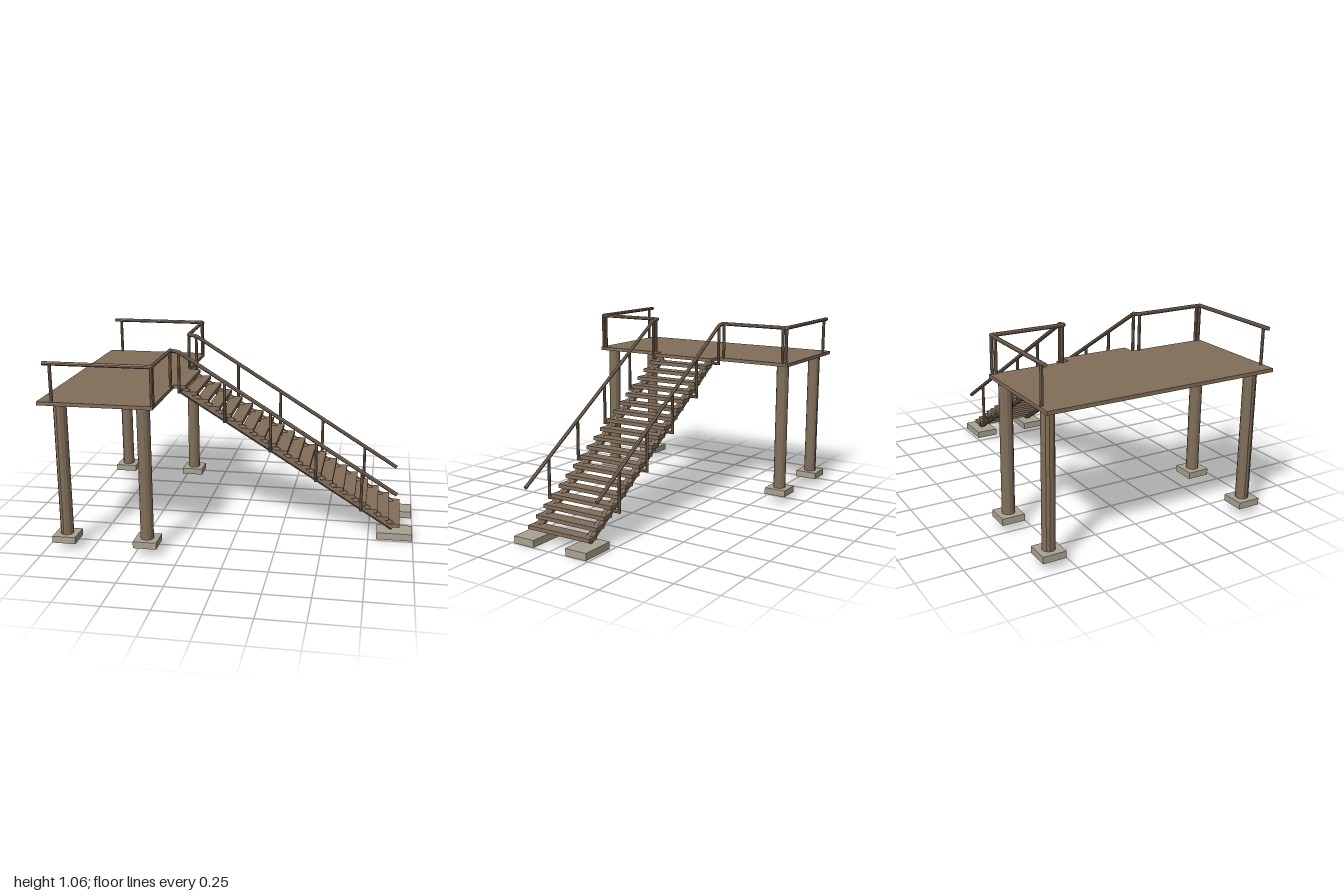
import * as THREE from 'three';

const wood = new THREE.MeshStandardMaterial({ color: 0x826f5a });
wood.name = 'weathered wood';
wood.flatShading = true;
const concrete = new THREE.MeshStandardMaterial({ color: 0xaaa493 });
concrete.name = 'concrete';

export function createModel() {
  const model = new THREE.Group();
  model.name = 'stairPlatform';

  const add = (name, geometry, material, x, y, z) => {
    const mesh = new THREE.Mesh(geometry, material);
    mesh.name = name;
    mesh.position.set(x, y, z);
    model.add(mesh);
    return mesh;
  };

  // Box given by its lowest and highest corners
  const box = (name, material, [x0, y0, z0], [x1, y1, z1]) =>
    add(name, new THREE.BoxGeometry(x1 - x0, y1 - y0, z1 - z0), material,
      (x0 + x1) / 2, (y0 + y1) / 2, (z0 + z1) / 2);

  // Round pole between two points
  const up = new THREE.Vector3(0, 1, 0);
  const pole = (name, from, to, radius, sides = 8) => {
    const a = new THREE.Vector3(...from);
    const dir = new THREE.Vector3(...to).sub(a);
    const mid = a.clone().addScaledVector(dir, 0.5);
    const geometry = new THREE.CylinderGeometry(radius, radius, dir.length(), sides);
    geometry.rotateY(Math.PI / sides);
    const mesh = add(name, geometry, wood, mid.x, mid.y, mid.z);
    mesh.quaternion.setFromUnitVectors(up, dir.normalize());
  };

  // Deck and the landing strip at the head of the stairs
  const deckTop = 0.845;
  box('deck', wood, [-1, 0.825, -0.665], [-0.37, deckTop, 0.665]);
  box('landing', wood, [-0.37, 0.825, -0.2], [-0.3, deckTop, 0.2]);

  // Treads
  const steps = 19, run = 0.0645, rise = 0.0403;
  for (let i = 1; i <= steps; i++) {
    const front = -0.3 + run * i;
    const top = deckTop - rise * i + 0.005;
    box('tread', wood, [front - 0.07, top - 0.021, -0.2], [front, top, 0.2]);
  }

  const railY = 1.05, railR = 0.011, postR = 0.009;
  const slope = 0.624;
  const stringerY = x => 0.815 - 0.62 * (x + 0.33);
  const handrailY = x => 1.043 - slope * (x + 0.33);

  for (const s of [1, -1]) {
    // Deck columns on their footings
    for (const x of [-0.893, -0.437]) {
      pole('column', [x, 0.08, s * 0.605], [x, 0.826, s * 0.605], 0.036, 12);
      const z = s * 0.605;
      box('columnFooting', concrete, [x - 0.065, 0.045, z - 0.065], [x + 0.065, 0.083, z + 0.065]);
    }

    // Stringer and its footing
    pole('stringer', [-0.325, stringerY(-0.325), s * 0.17], [0.887, stringerY(0.887), s * 0.17], 0.025);
    box('stairFooting', concrete, [0.797, 0, s * 0.17 - 0.065], [0.997, 0.04, s * 0.17 + 0.065]);

    // Handrail along the deck side, the deck front and down the stairs
    const path = [
      [-0.96, railY, s * 0.65],
      [-0.377, railY, s * 0.65],
      [-0.377, railY, s * 0.233],
      [-0.33, handrailY(-0.33), s * 0.233],
      [0.9, handrailY(0.9), s * 0.233],
    ];
    for (let i = 1; i < path.length; i++) {
      pole('handrail', path[i - 1], path[i], railR);
      if (i < path.length - 1)
        add('railJoint', new THREE.SphereGeometry(railR, 8, 6), wood, ...path[i]);
    }

    // Deck rail posts
    for (const [x, z] of [[-0.92, 0.65], [-0.377, 0.65], [-0.377, 0.628], [-0.377, 0.242]])
      pole('deckPost', [x, deckTop - 0.01, s * z], [x, railY, s * z], postR);

    // Stair rail posts with brackets to the stringer
    for (let i = 0; i < 5; i++) {
      const x = -0.33 + 0.2585 * i, y = stringerY(x);
      pole('stairPost', [x, y - 0.008, s * 0.233], [x, handrailY(x), s * 0.233], postR);
      pole('postBracket', [x, y, s * 0.18], [x, y, s * 0.238], postR);
    }
  }

  return model;
}
